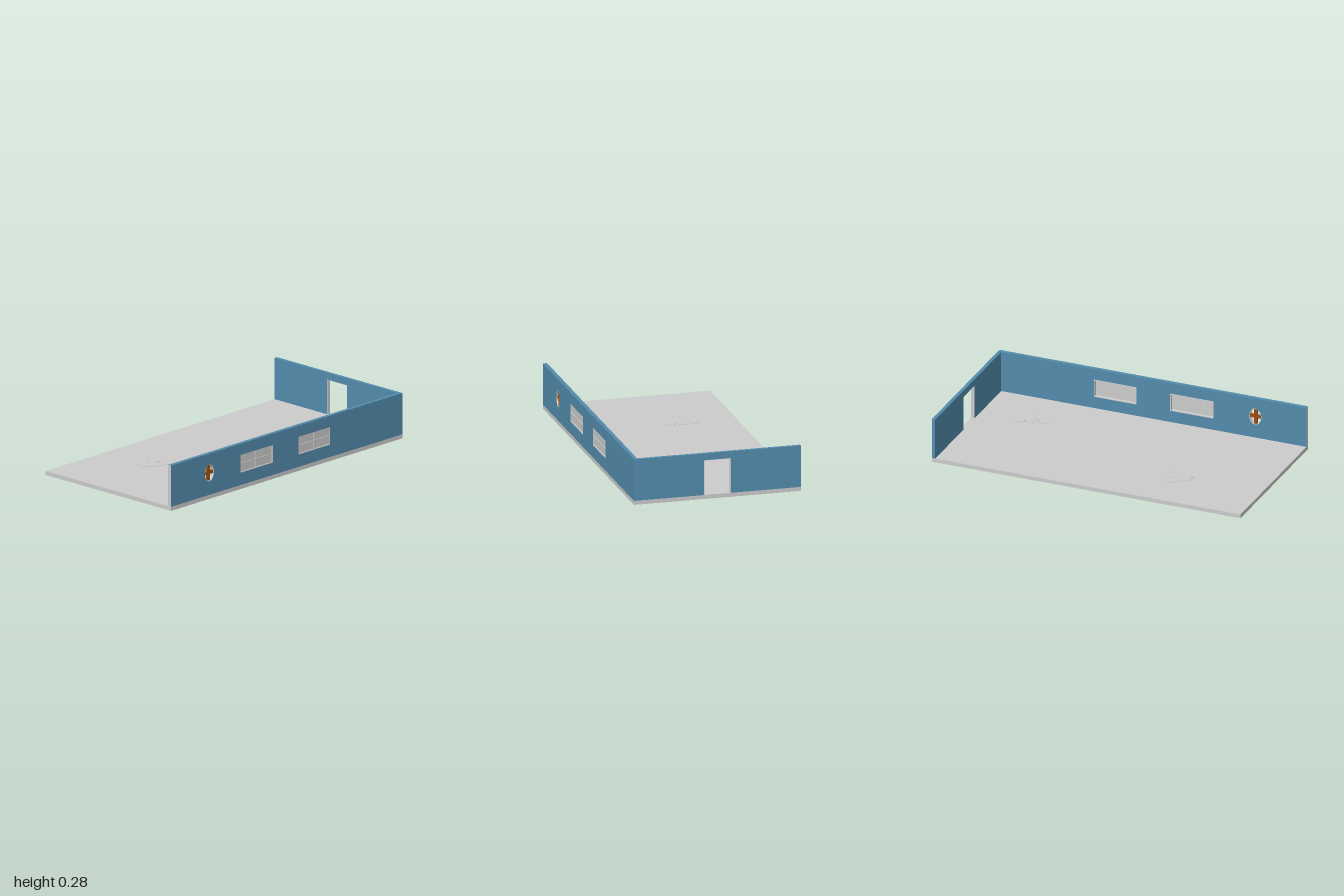
import * as THREE from 'three';

const mat = (color) => new THREE.MeshStandardMaterial({ color });
const BLUE = mat(0x528bab), GREY = mat(0xcccccc), FLOOR = mat(0xbdbdbd), BROWN = mat(0x9a4f12);
const BASE = 0.025, TOP = 0.283, HALF_W = 0.518, THICK = 0.025;

const rect = (Kind, u0, u1, v0, v1) => new Kind([
  new THREE.Vector2(u0, v0), new THREE.Vector2(u1, v0),
  new THREE.Vector2(u1, v1), new THREE.Vector2(u0, v1),
]);
const oval = (Kind, u, v, rx, ry) => {
  const shape = new Kind();
  shape.absellipse(u, v, rx, ry, 0, Math.PI * 2, false, 0);
  return shape;
};

// Extrudes an outline with openings into a slab of the given thickness
function slab(name, outline, holes, depth, material) {
  outline.holes = holes;
  const geometry = new THREE.ExtrudeGeometry(outline, { depth, bevelEnabled: false, curveSegments: 10 });
  const mesh = new THREE.Mesh(geometry, material);
  mesh.name = name;
  return mesh;
}

function box(name, size, position, material) {
  const mesh = new THREE.Mesh(new THREE.BoxGeometry(...size), material);
  mesh.name = name;
  mesh.position.set(...position);
  return mesh;
}

// Framed four-pane window, drawn in wall coordinates (u along wall, depth towards outside)
function paneWindow(u0, u1, v0, v1) {
  const g = new THREE.Group();
  g.name = 'paneWindow';
  const b = 0.004, u = (u0 + u1) / 2, v = (v0 + v1) / 2, w = u1 - u0, h = v1 - v0;
  const frame = slab('windowFrame', rect(THREE.Shape, u0, u1, v0, v1),
    [rect(THREE.Path, u0 + b, u1 - b, v0 + b, v1 - b)], THICK + 0.006, GREY);
  frame.position.z = -0.006;
  g.add(frame,
    box('windowPane', [w - b, h - b, 0.003], [u, v, 0.016], GREY),
    box('verticalGlazingBar', [0.006, h - b, 0.009], [u, v, 0.0175], GREY),
    box('horizontalGlazingBar', [w - b, 0.006, 0.009], [u, v, 0.0175], GREY));
  return g;
}

// Oval opening with a lining and crossed wooden bars
function ovalWindow(u, v, rx, ry) {
  const g = new THREE.Group();
  g.name = 'ovalWindow';
  g.add(slab('ovalLining', oval(THREE.Shape, u, v, rx, ry),
    [oval(THREE.Path, u, v, rx - 0.003, ry - 0.003)], THICK, GREY),
  box('verticalCrossBar', [0.02, ry * 2, 0.014], [u, v, 0.0125], BROWN),
  box('horizontalCrossBar', [rx * 2, 0.02, 0.014], [u, v, 0.0125], BROWN));
  return g;
}

// Three thin flat planks fanning out from one point on the floor
function plankFan(apex, ends) {
  const g = new THREE.Group();
  g.name = 'plankFan';
  ends.forEach(([x, z], i) => {
    const dx = x - apex[0], dz = z - apex[1];
    const plank = box('plank', [Math.hypot(dx, dz), 0.002 + i * 0.0006, 0.052],
      [(x + apex[0]) / 2, BASE + 0.001, (z + apex[1]) / 2], GREY);
    plank.rotation.y = -Math.atan2(dz, dx);
    g.add(plank);
  });
  return g;
}

export function createModel() {
  const model = new THREE.Group();
  model.name = 'room';

  model.add(box('floor', [HALF_W * 2, BASE, 2], [0, BASE / 2, 0], FLOOR));

  // Side wall: u = -z, turned to run along the +x edge
  const side = new THREE.Group();
  side.name = 'sideWallAssembly';
  const windows = [[-0.4, -0.12], [0.1, 0.375]];
  const wv0 = 0.102, wv1 = 0.213;
  const port = [-0.668, 0.163, 0.04, 0.053];
  side.add(slab('sideWall', rect(THREE.Shape, -1, 0.98, BASE, TOP),
    [...windows.map(([a, b]) => rect(THREE.Path, a, b, wv0, wv1)), oval(THREE.Path, ...port)], THICK, BLUE));
  windows.forEach(([a, b]) => side.add(paneWindow(a, b, wv0, wv1)));
  side.add(ovalWindow(...port));
  side.rotation.y = Math.PI / 2;
  side.position.x = HALF_W - THICK;
  model.add(side);
  model.add(box('wallEndCap', [THICK, TOP - BASE, 0.002],
    [HALF_W - THICK / 2, (TOP + BASE) / 2, 0.9995], GREY));

  // Back wall with a doorway
  const back = new THREE.Group();
  back.name = 'backWallAssembly';
  const d = 0.083, dTop = 0.242, t = 0.002;
  const wallOutline = new THREE.Shape([
    [-HALF_W, BASE], [-d, BASE], [-d, dTop], [d, dTop], [d, BASE],
    [HALF_W, BASE], [HALF_W, TOP], [-HALF_W, TOP],
  ].map((p) => new THREE.Vector2(...p)));
  back.add(slab('backWall', wallOutline, [], 0.022, BLUE));
  for (const s of [-1, 1]) {
    back.add(box('doorJamb', [t, dTop - BASE, 0.022], [s * (d - t / 2), (dTop + BASE) / 2, 0.011], GREY));
  }
  back.add(box('doorHead', [d * 2, t, 0.022], [0, dTop - t / 2, 0.011], GREY));
  back.position.z = -1;
  model.add(back);

  // Loose planks on the floor
  model.add(plankFan([0.3, -0.67], [[0.145, -0.725], [0.16, -0.655], [0.185, -0.56]]));
  model.add(plankFan([-0.17, 0.535], [[-0.27, 0.4], [-0.18, 0.39], [-0.1, 0.4]]));

  return model;
}
